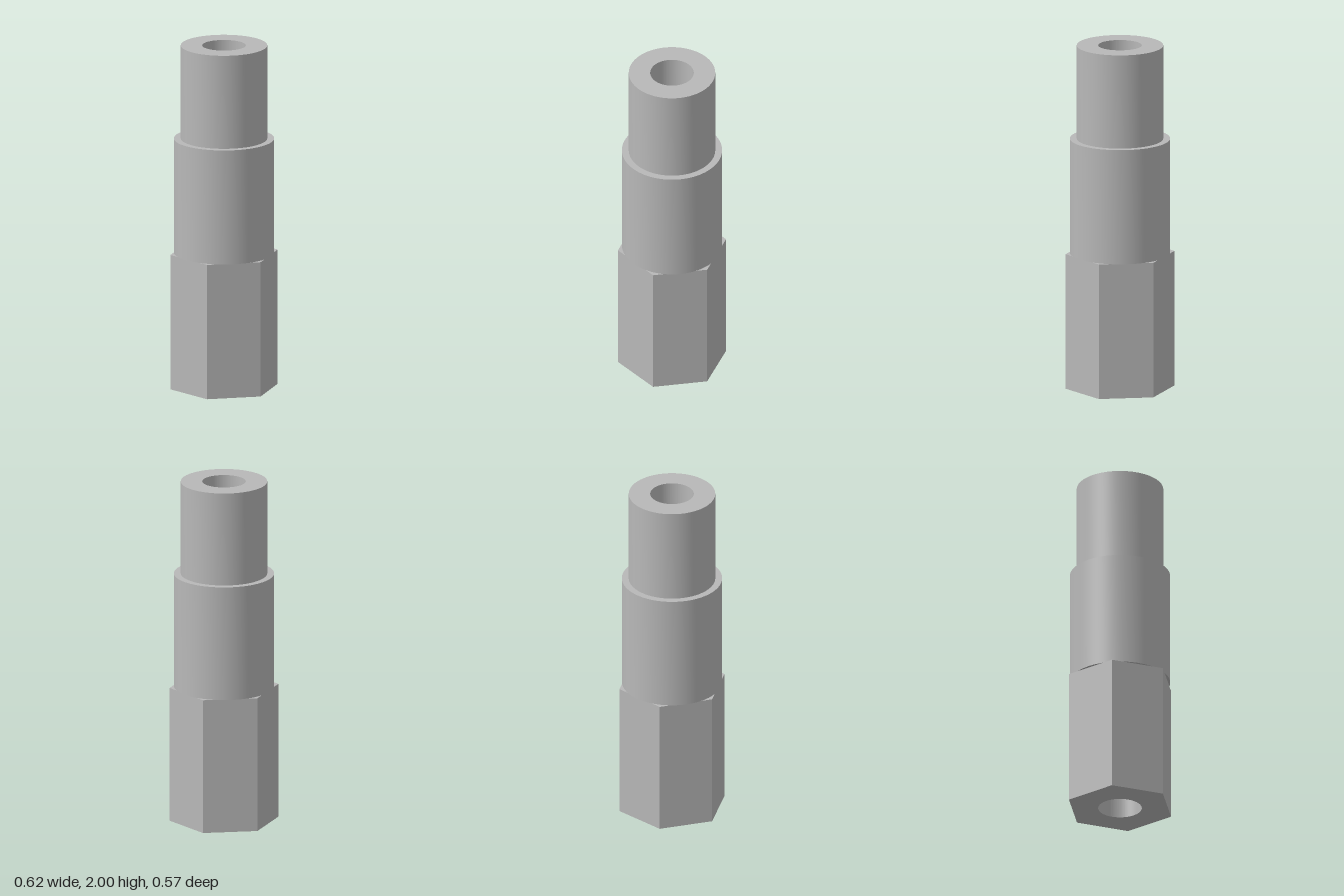
import * as THREE from 'three';
import { toCreasedNormals } from 'three/addons/utils/BufferGeometryUtils.js';

const BORE = 0.124;
const HEX_TOP = 0.787;
const SLEEVE_TOP = 1.455;
const TOP = 2;

const circle = (path, radius) => path.absarc(0, 0, radius, 0, Math.PI * 2, false);

// Upright prism from an outline, with flat ends and smooth round walls
function prism(name, shape, bottom, top, bore, material) {
  if (bore) shape.holes.push(circle(new THREE.Path(), bore));
  const geometry = new THREE.ExtrudeGeometry(shape, {
    depth: top - bottom, bevelEnabled: false, curveSegments: 72,
  });
  geometry.rotateX(-Math.PI / 2);
  geometry.translate(0, bottom, 0);
  const mesh = new THREE.Mesh(toCreasedNormals(geometry, Math.PI / 6), material);
  mesh.name = name;
  return mesh;
}

export function createModel() {
  const group = new THREE.Group();
  group.name = 'hexFitting';
  const metal = new THREE.MeshStandardMaterial({ color: 0xb8b8b8 });
  metal.name = 'grey metal';

  // Hexagon with corners on the x axis
  const hexagon = new THREE.Shape(Array.from({ length: 6 }, (_, i) => {
    const a = (i * Math.PI) / 3;
    return new THREE.Vector2(0.312 * Math.cos(a), 0.312 * Math.sin(a));
  }));

  // Bored hex base, solid middle collar and bored spigot
  group.add(
    prism('hexBase', hexagon, 0, HEX_TOP, BORE, metal),
    prism('collar', circle(new THREE.Shape(), 0.285), HEX_TOP, SLEEVE_TOP, 0, metal),
    prism('spigot', circle(new THREE.Shape(), 0.246), SLEEVE_TOP, TOP, BORE, metal),
  );
  return group;
}
